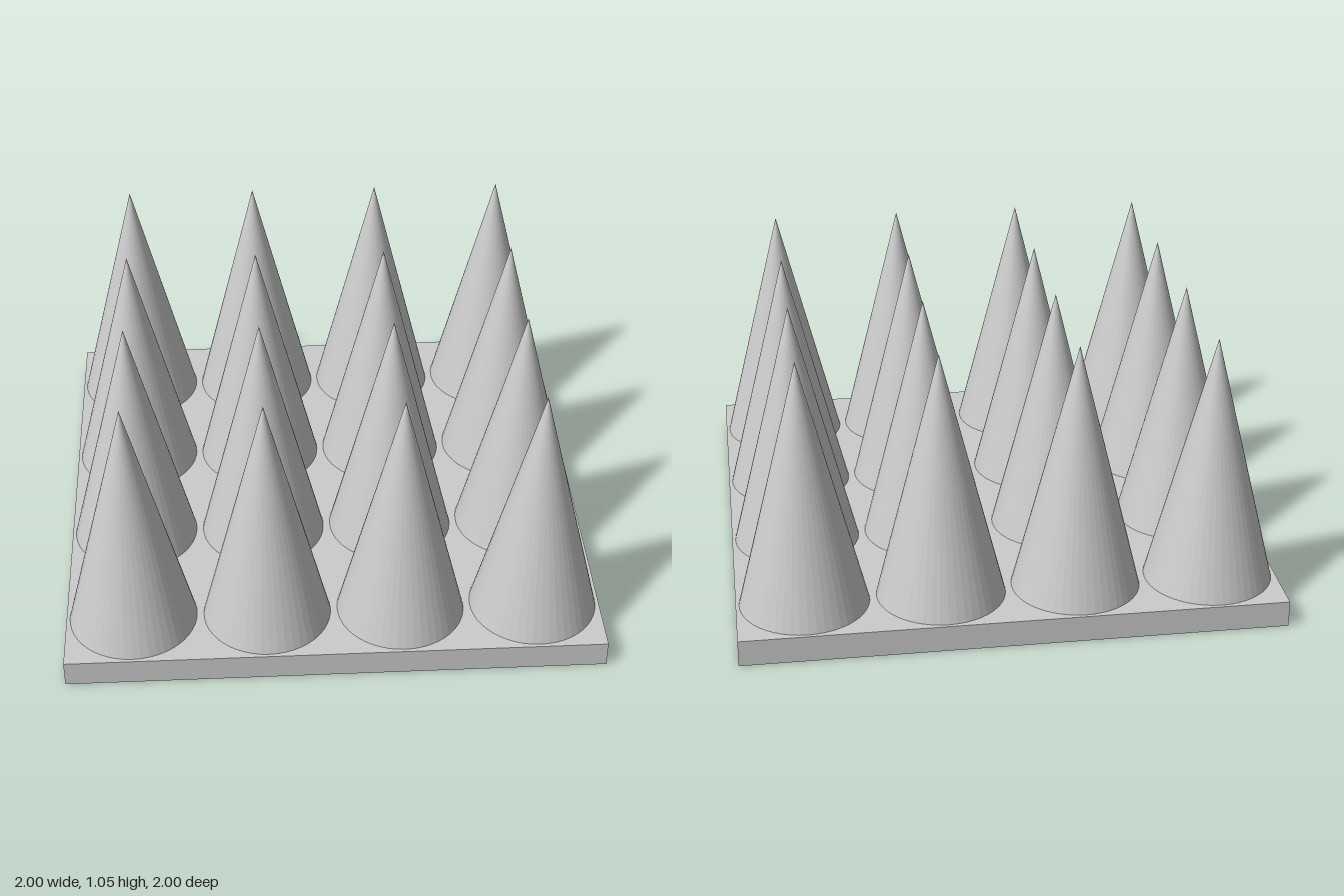
import * as THREE from 'three';

const BASE_HEIGHT = 0.1;
const CONE_HEIGHT = 0.95;
const CONE_RADIUS = 0.2375;
const COUNT = 4;
const SPACING = 0.5;

export function createModel() {
  const model = new THREE.Group();
  model.name = 'coneArray';
  const material = new THREE.MeshStandardMaterial({ color: 0xcccccc, flatShading: true });

  // Square base plate
  const base = new THREE.Mesh(new THREE.BoxGeometry(2, BASE_HEIGHT, 2), material);
  base.name = 'basePlate';
  base.position.y = BASE_HEIGHT / 2;
  model.add(base);

  // Grid of faceted cones standing on the plate
  const cones = new THREE.Group();
  cones.name = 'cones';
  const coneGeometry = new THREE.ConeGeometry(CONE_RADIUS, CONE_HEIGHT, 48, 1, true);
  const offset = (COUNT - 1) / 2;
  for (let row = 0; row < COUNT; row++) {
    for (let column = 0; column < COUNT; column++) {
      const cone = new THREE.Mesh(coneGeometry, material);
      cone.name = `coneRow${row + 1}Column${column + 1}`;
      cone.position.set(
        (column - offset) * SPACING,
        BASE_HEIGHT + CONE_HEIGHT / 2,
        (row - offset) * SPACING
      );
      cones.add(cone);
    }
  }
  model.add(cones);

  return model;
}
